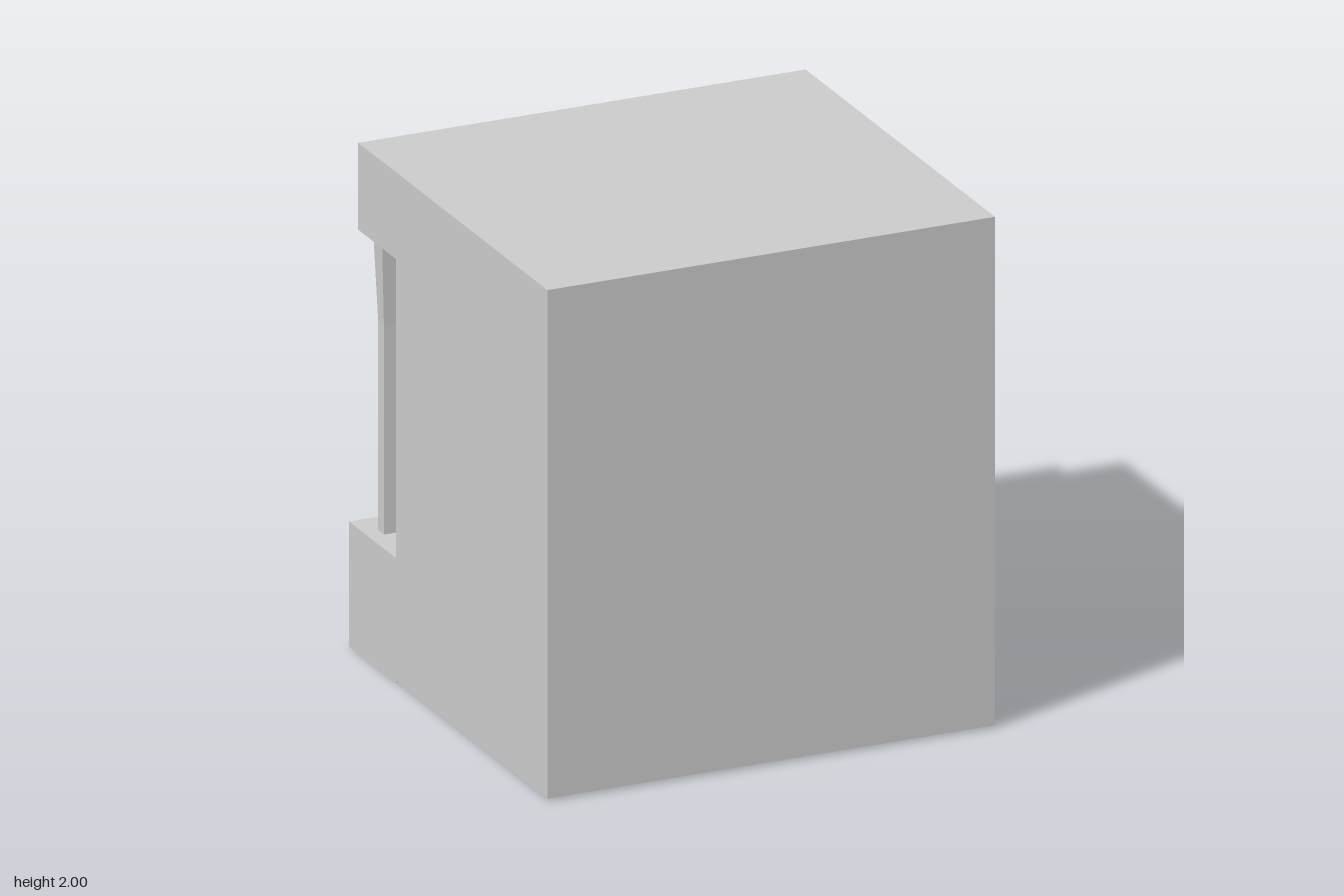
import * as THREE from 'three';

const material = new THREE.MeshStandardMaterial({
  color: 0xcccccc, flatShading: true, side: THREE.DoubleSide,
});

function add(parent, name, geometry, x = 0, y = 0, z = 0) {
  const mesh = new THREE.Mesh(geometry, material);
  mesh.name = name;
  mesh.position.set(x, y, z);
  parent.add(mesh);
  return mesh;
}

// Box given by its minimum and maximum corners
function box(parent, name, [x0, y0, z0], [x1, y1, z1]) {
  return add(parent, name, new THREE.BoxGeometry(x1 - x0, y1 - y0, z1 - z0),
    (x0 + x1) / 2, (y0 + y1) / 2, (z0 + z1) / 2);
}

// Flat wall, turned about x or y
function panel(parent, name, w, h, [x, y, z], rx = 0, ry = 0) {
  const mesh = add(parent, name, new THREE.PlaneGeometry(w, h), x, y, z);
  mesh.rotation.set(rx, ry, 0);
  return mesh;
}

function rectangle(Type, x0, y0, x1, y1) {
  return new Type([[x0, y0], [x1, y0], [x1, y1], [x0, y1]]
    .map(([x, y]) => new THREE.Vector2(x, y)));
}

const W = 0.9, TOP = 2, BASE = 0.01;      // half width, roof and wall foot
const FRONT = 0.87, WALL = -0.46;         // closed wall and shop wall
const CANOPY = -0.79, STEP = -0.87;       // outer planes of canopy and plinths
const DOOR = 0.32, DOOR_TOP = 1.08, DOOR_Z = -0.23;
const PLINTH = 0.49, SOFFIT = 1.66;

// Hollow building shell, open below
function createShell() {
  const shell = new THREE.Group();
  shell.name = 'buildingShell';
  const h = TOP - BASE, y = (TOP + BASE) / 2;
  const depth = FRONT - WALL, z = (FRONT + WALL) / 2;
  panel(shell, 'closedWall', 2 * W, h, [0, y, FRONT]);
  panel(shell, 'roof', 2 * W, depth, [0, TOP, z], -Math.PI / 2);

  // Shop wall with a doorway notch
  const outline = new THREE.Shape([
    [-W, BASE], [-DOOR, BASE], [-DOOR, DOOR_TOP], [DOOR, DOOR_TOP],
    [DOOR, BASE], [W, BASE], [W, TOP], [-W, TOP],
  ].map(([px, py]) => new THREE.Vector2(px, py)));
  add(shell, 'shopWall', new THREE.ShapeGeometry(outline), 0, 0, WALL).rotation.y = Math.PI;

  // Side walls and doorway recess
  const doorH = DOOR_TOP - BASE, doorY = (DOOR_TOP + BASE) / 2;
  const recess = DOOR_Z - WALL, recessZ = (DOOR_Z + WALL) / 2;
  for (const s of [-1, 1]) {
    panel(shell, 'sideWall', depth, h, [s * W, y, z], 0, s * Math.PI / 2);
    panel(shell, 'doorwaySide', recess, doorH, [s * DOOR, doorY, recessZ], 0, -s * Math.PI / 2);
  }
  panel(shell, 'doorwayBack', 2 * DOOR, doorH, [0, doorY, DOOR_Z], 0, Math.PI);
  panel(shell, 'doorwayCeiling', 2 * DOOR, recess, [0, DOOR_TOP, recessZ], Math.PI / 2);
  return shell;
}

// Window: projecting frame with a set-back pane
function createWindow(name, x0, y0, x1, y1) {
  const group = new THREE.Group();
  group.name = name;
  const border = 0.045, outer = -0.54, pane = -0.495;
  const shape = rectangle(THREE.Shape, x0, y0, x1, y1);
  shape.holes.push(rectangle(THREE.Path, x0 + border, y0 + border, x1 - border, y1 - border));
  add(group, 'windowFrame',
    new THREE.ExtrudeGeometry(shape, { depth: WALL - outer, bevelEnabled: false }), 0, 0, outer);
  panel(group, 'windowPane', x1 - x0 - 2 * border, y1 - y0 - 2 * border,
    [(x0 + x1) / 2, (y0 + y1) / 2, pane], 0, Math.PI);
  return group;
}

// Square post that flares toward the canopy
function createPost(x) {
  const post = new THREE.Group();
  post.name = 'post';
  post.position.set(x, 0, -0.72);
  const lower = 0.05, upper = 0.078, bend = 1.31;
  box(post, 'postShaft', [-lower / 2, 0.003, -lower / 2], [lower / 2, bend, lower / 2]);
  const flare = new THREE.CylinderGeometry(
    upper / Math.SQRT2, lower / Math.SQRT2, SOFFIT - bend, 4, 1, true);
  flare.rotateY(Math.PI / 4);
  add(post, 'postFlare', flare, 0, (SOFFIT + bend) / 2, 0);
  return post;
}

export function createModel() {
  const model = new THREE.Group();
  model.name = 'shopBuilding';
  model.add(createShell());

  // Canopy and blank sign board
  box(model, 'canopy', [-W, SOFFIT, CANOPY], [W, TOP, WALL]);
  box(model, 'signBoard', [-0.75, 1.71, STEP], [0.7, 1.95, CANOPY]);

  // Plinths either side of the doorway
  box(model, 'leftPlinth', [DOOR, 0, STEP], [W, PLINTH, WALL]);
  box(model, 'rightPlinth', [-W, 0, STEP], [-DOOR, PLINTH, WALL]);

  // Posts and windows
  model.add(createPost(0.825), createPost(-0.815));
  model.add(
    createWindow('leftWindow', 0.41, 0.58, 0.83, 1.505),
    createWindow('rightWindow', -0.82, 0.58, -0.4, 1.505),
    createWindow('middleWindow', -0.335, 1.14, 0.345, 1.57),
  );
  return model;
}
